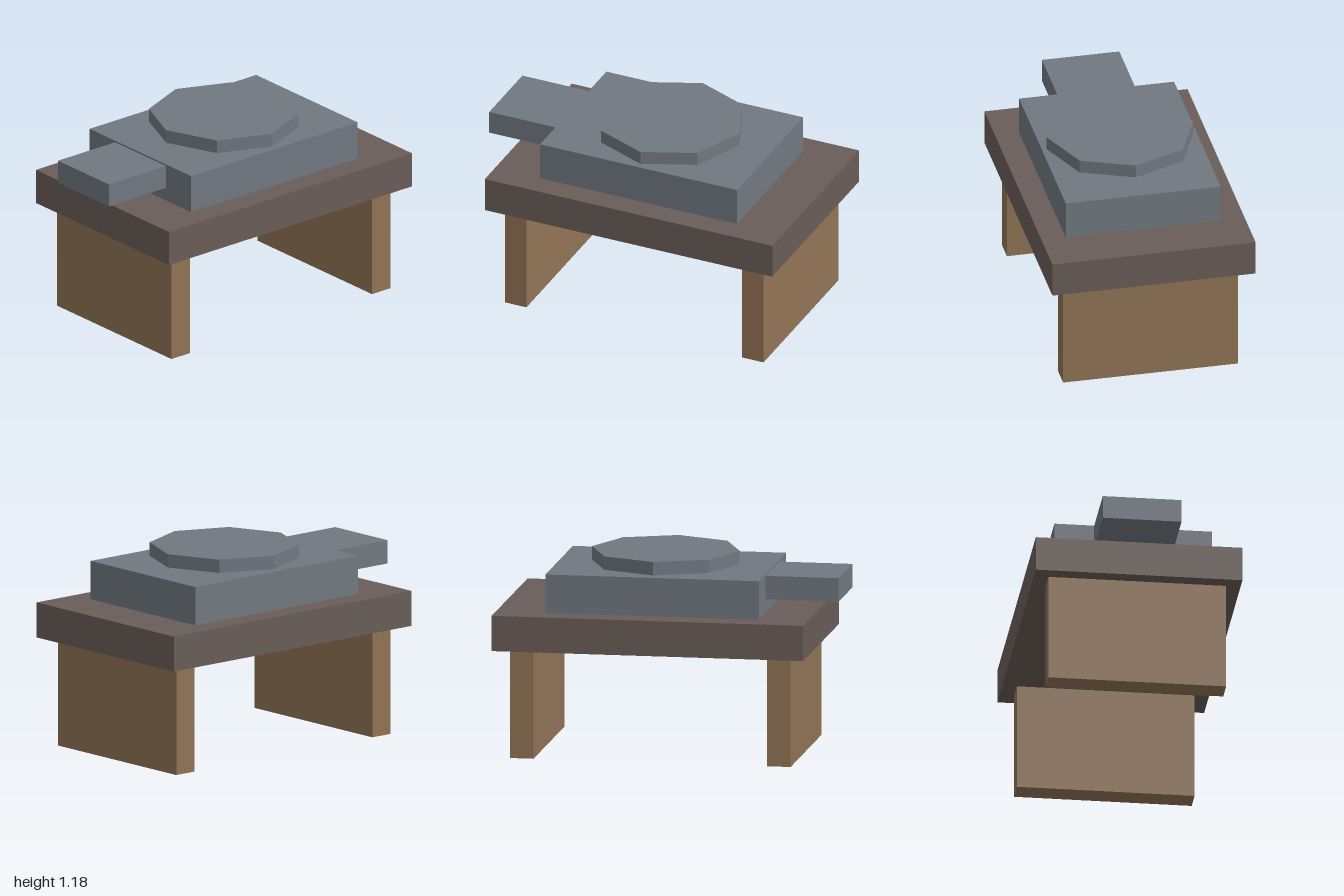
import * as THREE from 'three';

export function createModel() {
  const model = new THREE.Group();
  model.name = 'bench';

  const material = (name, color) => {
    const m = new THREE.MeshStandardMaterial({ color });
    m.name = name;
    return m;
  };
  const wood = material('wood', 0x917355);
  const darkWood = material('darkWood', 0x695d57);
  const slate = material('slate', 0x707880);

  const add = (name, geometry, mat) => {
    const mesh = new THREE.Mesh(geometry, mat);
    mesh.name = name;
    model.add(mesh);
    return mesh;
  };

  // Box given by its x and y ranges and its depth, centred on z = 0
  const box = (name, x0, x1, y0, y1, depth, mat) =>
    add(name, new THREE.BoxGeometry(x1 - x0, y1 - y0, depth), mat)
      .position.set((x0 + x1) / 2, (y0 + y1) / 2, 0);

  // Two panel legs under a thick top
  box('rightLeg', -0.765, -0.625, 0, 0.65, 1.05, wood);
  box('leftLeg', 0.765, 0.905, 0, 0.65, 1.05, wood);
  box('tableTop', -0.855, 1, 0.65, 0.86, 1.22, darkWood);

  // Block with a side arm that overhangs the top
  box('block', -0.565, 0.705, 0.86, 1.09, 0.93, slate);
  box('sideArm', -1, -0.565, 0.94, 1.08, 0.465, slate);

  // Octagonal plate held just clear of the block
  const plate = new THREE.CylinderGeometry(0.44, 0.44, 0.08, 8).toNonIndexed();
  plate.computeVertexNormals();
  add('octagonPlate', plate, slate).position.set(0.07, 1.14, 0);

  return model;
}
